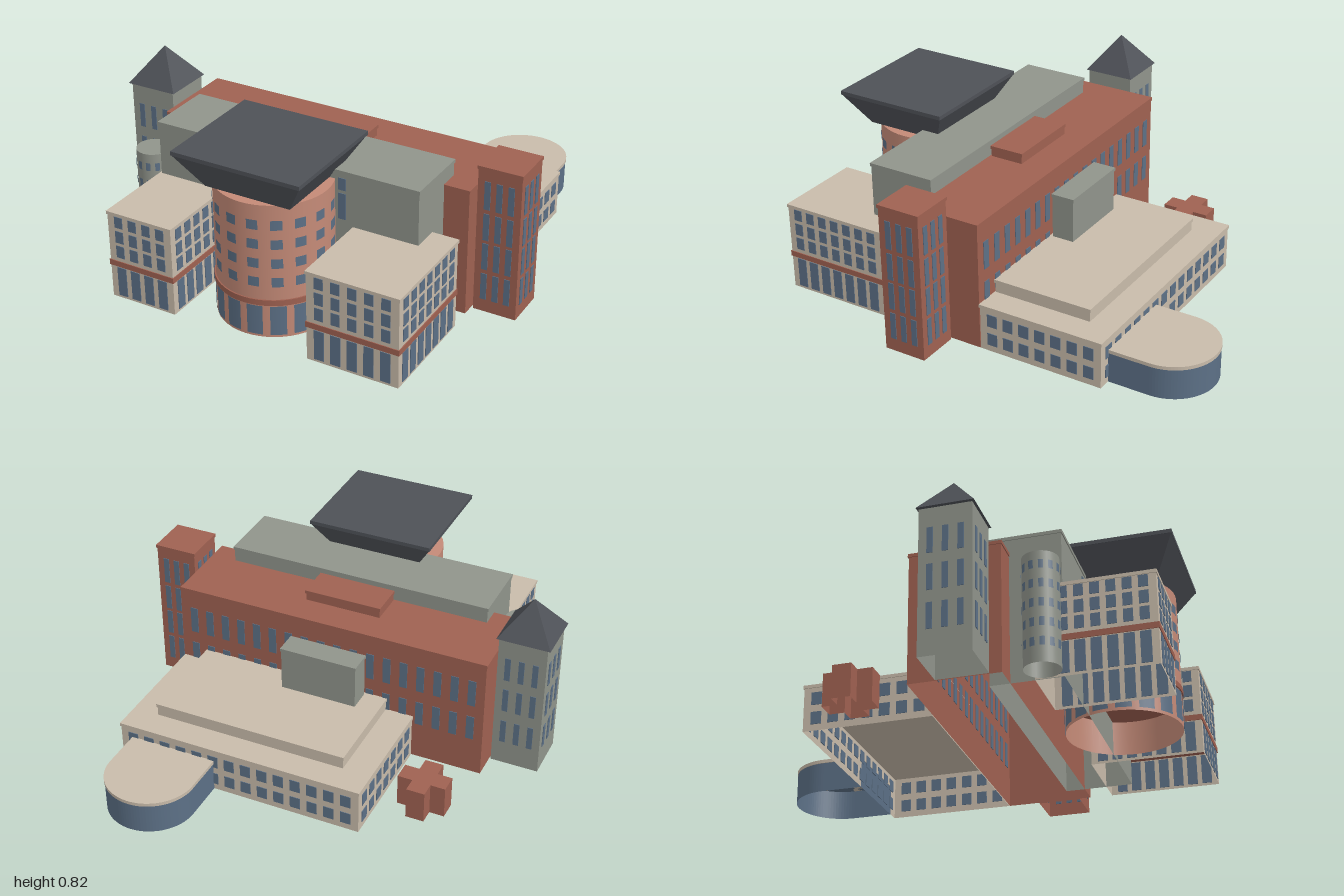
import * as THREE from 'three';
import { mergeGeometries } from 'three/addons/utils/BufferGeometryUtils.js';

const paint = (name, color) => {
  const m = new THREE.MeshStandardMaterial({ color, side: THREE.DoubleSide });
  m.name = name;
  return m;
};

export function createModel() {
  const root = new THREE.Group();
  root.name = 'buildingComplex';
  const stone = paint('pale stone', 0xc8bbaa);
  const grey = paint('grey render', 0x90948b);
  const brick = paint('red brick', 0x9f6151);
  const salmon = paint('salmon brick', 0xc48a77);
  const slate = paint('dark slate', 0x4e5157);
  const glass = paint('blue glass', 0x5c7086);

  const add = (name, geometry, material, parent = root) => {
    const mesh = new THREE.Mesh(geometry, material);
    mesh.name = name;
    parent.add(mesh);
    return mesh;
  };

  // Drop the faces lying on the lowest level, leaving a hollow shell
  const openBottom = (geometry) => {
    const g = geometry.index ? geometry.toNonIndexed() : geometry;
    g.clearGroups();
    g.computeBoundingBox();
    const floor = g.boundingBox.min.y + 1e-5;
    const p = g.attributes.position;
    const keep = [];
    for (let i = 0; i < p.count; i += 3) {
      if (Math.max(p.getY(i), p.getY(i + 1), p.getY(i + 2)) > floor) keep.push(i, i + 1, i + 2);
    }
    g.setIndex(keep);
    return g;
  };
  const flat = (geometry) => {
    const g = geometry.toNonIndexed();
    g.computeVertexNormals();
    return g;
  };
  const boxGeo = (x0, x1, y0, y1, z0, z1) =>
    new THREE.BoxGeometry(x1 - x0, y1 - y0, z1 - z0).translate((x0 + x1) / 2, (y0 + y1) / 2, (z0 + z1) / 2);

  // Hollow block with a thin projecting roof slab
  const block = (name, material, x0, x1, z0, z1, top, base = 0) => {
    const group = new THREE.Group();
    group.name = name;
    root.add(group);
    const o = 0.004;
    add(name + 'Walls', openBottom(boxGeo(x0, x1, base, top - 0.015, z0, z1)), material, group);
    add(name + 'RoofSlab', boxGeo(x0 - o, x1 + o, top - 0.015, top, z0 - o, z1 + o), material, group);
    return { group, x0, x1, z0, z1 };
  };

  // Grid of thin window plates on one side of a block; rows are [bottom, top]
  const windows = (b, side, cols, w, rows, margin = 0.02) => {
    const alongX = side === 'front' || side === 'back';
    const lo = (alongX ? b.x0 : b.z0) + margin;
    const hi = (alongX ? b.x1 : b.z1) - margin;
    const at = { front: b.z1, back: b.z0, left: b.x1, right: b.x0 }[side];
    const t = 0.003;
    const parts = [];
    for (const [y0, y1] of rows) {
      for (let i = 0; i < cols; i++) {
        const c = lo + ((hi - lo) * (i + 0.5)) / cols;
        parts.push(alongX
          ? boxGeo(c - w / 2, c + w / 2, y0, y1, at - t, at + t)
          : boxGeo(at - t, at + t, y0, y1, c - w / 2, c + w / 2));
      }
    }
    add(side + 'Windows', mergeGeometries(parts), glass, b.group);
  };

  // Long brick hall and its rooftop box
  const hall = block('brickHall', brick, -0.73, 0.756, -0.02, 0.376, 0.59);
  windows(hall, 'back', 18, 0.036, [[0.36, 0.49], [0.18, 0.3]]);
  block('hallRoofBox', brick, -0.168, 0.192, 0.124, 0.281, 0.64, 0.585);

  // Grey block behind the rotunda
  const greyHall = block('greyHall', grey, -0.615, 0.641, 0.289, 0.6, 0.665);
  for (const x of [-0.243, 0.29]) {
    const strip = { ...greyHall, x0: x - 0.02, x1: x + 0.02 };
    windows(strip, 'front', 1, 0.035, [[0.44, 0.56], [0.575, 0.63]], 0);
  }

  // Two front wings with brick string course
  for (const [name, x0, x1, cols] of [['rightWing', -0.621, -0.302, 4], ['leftWing', 0.344, 0.76, 5]]) {
    const wing = block(name, stone, x0, x1, 0.479, 0.984, 0.415);
    const o = 0.004;
    add('brickBand', boxGeo(x0 - o, x1 + o, 0.155, 0.181, 0.479 - o, 0.984 + o), brick, wing.group);
    for (const [side, n] of [['front', cols], ['left', 7], ['right', 7]]) {
      windows(wing, side, n, 0.04, [[0.345, 0.397], [0.272, 0.328], [0.2, 0.257]]);
      windows(wing, side, n, 0.045, [[0.012, 0.15]]);
    }
  }

  // Brick tower
  const tower = block('brickTower', brick, 0.766, 0.961, 0.124, 0.321, 0.685);
  for (const side of ['front', 'back', 'left', 'right']) {
    windows(tower, side, 3, 0.027, [[0.06, 0.185], [0.205, 0.33], [0.345, 0.47], [0.49, 0.62]], 0.018);
  }

  // Grey tower with pyramid roof
  const spire = { group: new THREE.Group(), x0: -0.957, x1: -0.737, z0: 0.1, z1: 0.325 };
  spire.group.name = 'greyTower';
  root.add(spire.group);
  add('towerWalls', openBottom(boxGeo(-0.957, -0.737, 0, 0.655, 0.1, 0.325)), grey, spire.group);
  for (const side of ['front', 'back', 'left', 'right']) {
    windows(spire, side, 3, 0.026, [[0.115, 0.23], [0.285, 0.4], [0.45, 0.565]], 0.016);
  }
  add('pyramidRoof', flat(new THREE.ConeGeometry(0.122 * Math.SQRT2, 0.165, 4).rotateY(Math.PI / 4))
    .translate(-0.848, 0.74, 0.213), slate, spire.group);

  // Curved window plates around a cylinder
  const ringWindows = (name, parent, r, count, arc, rows) => {
    const parts = [];
    for (const [y0, y1] of rows) {
      for (let i = 0; i < count; i++) {
        const a = ((i + 0.5) / count) * Math.PI * 2;
        parts.push(new THREE.CylinderGeometry(r, r, y1 - y0, 3, 1, true, a - arc / 2, arc)
          .translate(0, (y0 + y1) / 2, 0));
      }
    }
    add(name, mergeGeometries(parts), glass, parent);
  };

  // Round stair turret
  const turret = new THREE.Group();
  turret.name = 'roundTurret';
  turret.position.set(-0.702, 0, 0.532);
  root.add(turret);
  add('turretWall', openBottom(new THREE.CylinderGeometry(0.077, 0.077, 0.49, 32).translate(0, 0.245, 0)), grey, turret);
  ringWindows('turretWindows', turret, 0.08, 12, 0.26,
    [0.09, 0.175, 0.26, 0.345, 0.43].map((y) => [y - 0.019, y + 0.019]));

  // Rotunda
  const rotunda = new THREE.Group();
  rotunda.name = 'rotunda';
  rotunda.position.set(0.026, 0, 0.7);
  root.add(rotunda);
  add('rotundaWall', openBottom(new THREE.CylinderGeometry(0.252, 0.252, 0.62, 48).translate(0, 0.31, 0)), salmon, rotunda);
  add('rotundaBand', new THREE.CylinderGeometry(0.258, 0.258, 0.026, 48).translate(0, 0.168, 0), brick, rotunda);
  ringWindows('upperWindows', rotunda, 0.255, 16, 0.19,
    [0.265, 0.353, 0.442, 0.53].map((y) => [y - 0.022, y + 0.022]));
  ringWindows('groundWindows', rotunda, 0.255, 16, 0.27, [[0.012, 0.15]]);

  // Flared dark roof over the rotunda
  const flare = flat(new THREE.CylinderGeometry(0.27 * Math.SQRT2, 0.182 * Math.SQRT2, 0.155, 4).rotateY(Math.PI / 4));
  add('flaredRoof', flare.scale(1.095, 1, 1).translate(0.032, 0.6975, 0.728), slate);
  add('flaredRoofRim', boxGeo(-0.266, 0.33, 0.774, 0.792, 0.457, 1), slate);

  // Low rear hall, setback and plant room
  const rear = block('rearHall', stone, -0.398, 0.756, -0.608, -0.024, 0.215);
  const lowRows = [[0.03, 0.087], [0.12, 0.178]];
  windows(rear, 'left', 7, 0.048, lowRows);
  windows(rear, 'right', 7, 0.048, lowRows);
  windows(rear, 'back', 14, 0.048, lowRows);
  block('rearSetback', stone, -0.27, 0.637, -0.486, -0.024, 0.275, 0.21);
  block('plantRoom', grey, -0.168, 0.192, -0.138, -0.034, 0.485, 0.27);

  // Glazed apse with rounded end
  const apse = (r) => {
    const s = new THREE.Shape();
    s.moveTo(-r, -0.19);
    s.lineTo(r, -0.19);
    s.lineTo(r, 0);
    s.absarc(0, 0, r, 0, Math.PI, false);
    return s;
  };
  const raise = (shape, y0, depth, x, z) =>
    new THREE.ExtrudeGeometry(shape, { depth, bevelEnabled: false, curveSegments: 24 })
      .rotateX(-Math.PI / 2).translate(x, y0, z);
  add('apseGlass', openBottom(raise(apse(0.2), 0, 0.14, 0.497, -0.798)), glass);
  add('apseRoof', raise(apse(0.204), 0.14, 0.016, 0.497, -0.796), stone);

  // Small cross-shaped kiosk
  const a = 0.11, b = 0.042;
  const cross = new THREE.Shape([[-b, -a], [b, -a], [b, -b], [a, -b], [a, b], [b, b], [b, a], [-b, a],
    [-b, b], [-a, b], [-a, -b], [-b, -b]].map(([x, y]) => new THREE.Vector2(x, y)));
  add('crossKiosk', openBottom(raise(cross, 0, 0.15, -0.582, -0.318)), brick);

  return root;
}
